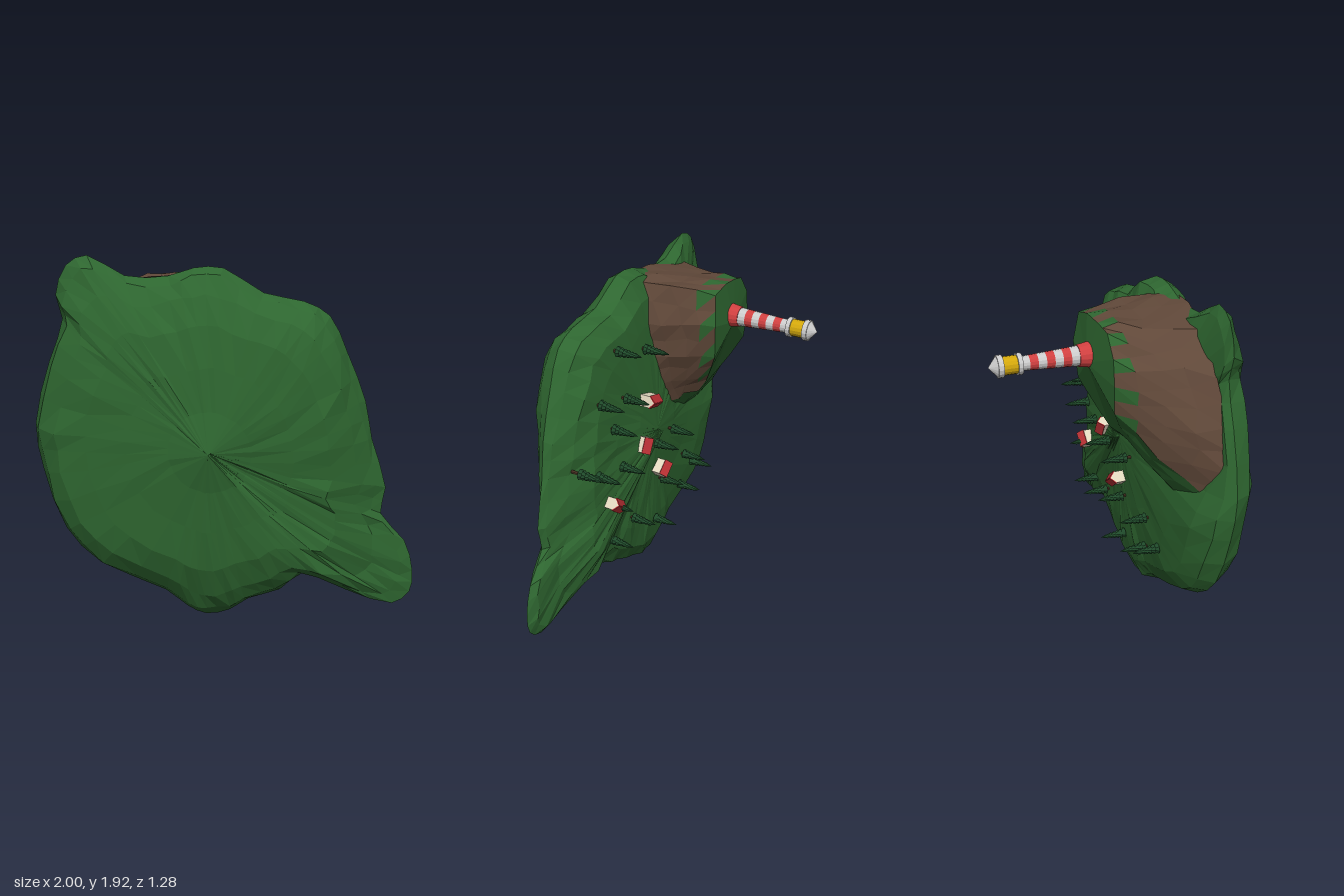
import * as THREE from 'three';

const mat = color => new THREE.MeshStandardMaterial({ color, flatShading: true, side: THREE.DoubleSide });
const GREEN = mat(0x2e6630), BROWN = mat(0x604839), RED = mat(0xd04040), WHITE = mat(0xcccccc),
  YELLOW = mat(0xd4a80c), WALL = mat(0xe2d8be), ROOF = mat(0xb83034), LEAF = mat(0x1f4a2a), TRUNK = mat(0x4c3224);

// Repeatable noise in -1..1
const noise = (a, b) => { const s = Math.sin(a * 127.1 + b * 311.7) * 43758.5453; return 2 * (s - Math.floor(s)) - 1; };
const smooth = (v, a, b) => THREE.MathUtils.smoothstep(v, a, b);
const mix = (p, q, t) => p.map((v, k) => v + (q[k] - v) * t);

function add(parent, name, geometry, material, x = 0, y = 0, z = 0) {
  const m = new THREE.Mesh(geometry, material);
  m.name = name;
  m.position.set(x, y, z);
  parent.add(m);
  return m;
}

// Surface through closed rings of points; keep(j, i, half) selects triangles
function loft(rings, keep = () => true) {
  const pos = [], n = rings[0].length;
  for (let j = 0; j < rings.length - 1; j++) for (let i = 0; i < n; i++) {
    const k = (i + 1) % n, a = rings[j][i], b = rings[j][k], c = rings[j + 1][k], d = rings[j + 1][i];
    if (keep(j, i, 0)) pos.push(...a, ...d, ...c);
    if (keep(j, i, 1)) pos.push(...a, ...c, ...b);
  }
  const g = new THREE.BufferGeometry();
  g.setAttribute('position', new THREE.Float32BufferAttribute(pos, 3));
  g.computeVertexNormals();
  return g;
}

// Island slab: a rounded coast line drawn inwards on both faces, becoming a circle in the middle
function buildIsland(root) {
  const coast = [[1, .28], [.95, .45], [.82, .6], [.84, .74], [.76, 1], [.72, 1.2], [.62, 1.45], [.53, 1.63], [.4, 1.7],
    [.2, 1.74], [0, 1.86], [-.15, 1.86], [-.28, 1.82], [-.5, 1.82], [-.69, 1.92], [-.8, 1.87], [-.86, 1.72], [-.83, 1.6],
    [-.91, 1.38], [-1, 1.05], [-.97, .8], [-.86, .47], [-.68, .28], [-.32, .13], [-.2, .04], [-.1, 0], [.03, .03],
    [.13, .1], [.3, .16], [.42, .26], [.65, .17], [.9, .09], [.99, .16]];
  const curve = new THREE.CatmullRomCurve3(coast.map(([x, y]) => new THREE.Vector3(x, y, 0)), true);
  const line = Array.from({ length: coast.length * 2 }, (_, i) => curve.getPoint(i / coast.length / 2));
  const cx = -.05, cy = .97;
  // [scale, depth] from the middle of the front, over the rim, to the middle of the back
  const steps = [[0, .64], [.25, .595], [.5, .572], [.72, .555], [.87, .525], [.96, .46], [1, .37],
    [.97, .285], [.87, .22], [.72, .2], [.5, .185], [.25, .168], [0, .155]];
  const rings = steps.map(([t, depth], j) => line.map((o, i) => {
    const wob = t < 1 ? t : 0;
    const radius = Math.hypot(o.x - cx, o.y - cy);
    const s = t * THREE.MathUtils.lerp(.82 / radius, 1, t * t);
    const x = cx + (o.x - cx) * s + wob * .012 * noise(i, j);
    const y = cy + (o.y - cy) * s + wob * .012 * noise(i + 40, j);
    const rim = .37 - .04 * smooth(o.x, .5, 1);
    let d = depth - .37;
    d *= 1 - (d > 0 ? .72 : .6) * smooth(x, .5, .8);
    if (d > 0) d *= 1 - .35 * smooth(y, 1.4, 1.9) - .35 * (1 - smooth(y, .05, .4));
    else d *= 1 - .65 * smooth(-x, .3, .75) * smooth(y, .85, 1.15);
    return [x, y, rim + d + wob * .01 * noise(i, j + 70)];
  }));
  add(root, 'island', loft(rings), GREEN);
}

// Headland: steep rock sides, grassy top and a grassy ramp
function buildHeadland(root) {
  const base = [[-.08, 1.82, .4], [-.05, 1.6, .24], [-.07, 1.4, .22], [-.13, 1.2, .21], [-.21, 1.06, .2], [-.42, .93, .22],
    [-.64, .88, .26], [-.86, .95, .33], [-.93, 1.15, .36], [-.88, 1.38, .36], [-.79, 1.6, .33], [-.62, 1.78, .33], [-.35, 1.82, .39]];
  const top = [[-.18, 1.78, -.13], [-.15, 1.62, -.15], [-.18, 1.43, -.135], [-.25, 1.29, -.065], [-.31, 1.18, -.005], [-.42, 1.2, 0],
    [-.54, 1.3, -.05], [-.6, 1.4, -.1], [-.62, 1.55, -.11], [-.6, 1.68, -.11], [-.52, 1.78, -.11], [-.42, 1.8, -.12], [-.3, 1.81, -.13]];
  // Twice as many stations round the hill
  const double = r => r.flatMap((p, i) => [p, mix(p, r[(i + 1) % r.length], .5)]);
  const B = double(base), T = double(top), mid = [-.36, 1.58, -.155];
  const rings = [T.map(() => mid), T.map(p => mix(p, mid, .5)), T];
  for (const t of [.2, .45, .72, 1]) rings.push(T.map((p, i) => {
    const q = mix(p, B[i], t);
    return t === 1 ? q : q.map((v, k) => v + .014 * noise(i + 9 * k, t * 10));
  }));
  const ramp = i => i >= 8 && i < 14;
  const grass = (j, i, h) => j < 2 || ramp(i) || (j === 2 && (i + h) % 2 === 0);
  add(root, 'headlandGrass', loft(rings, grass), GREEN);
  add(root, 'headlandRock', loft(rings, (j, i, h) => !grass(j, i, h)), BROWN);
}

// Striped lighthouse, standing along local y
function buildLighthouse(land) {
  const g = new THREE.Group();
  g.name = 'lighthouse';
  g.position.set(-.355, .14, 1.62);
  land.add(g);
  const cyl = (name, r0, r1, y0, y1, m) =>
    add(g, name, new THREE.CylinderGeometry(r1, r0, y1 - y0, 16), m, 0, (y0 + y1) / 2, 0);
  cyl('towerFoot', .064, .054, 0, .06, RED);
  const r = k => .05 - .0022 * k;
  for (let k = 0; k < 7; k++)
    cyl('towerBand', r(k), r(k + 1), .06 + k * .041, .06 + (k + 1) * .041, k % 2 ? RED : WHITE);
  cyl('gallery', .053, .053, .342, .365, WHITE);
  cyl('lampRoom', .045, .045, .365, .435, YELLOW);
  cyl('roofRim', .055, .055, .435, .462, WHITE);
  cyl('roofCone', .05, .002, .462, .502, WHITE);
}

function buildHouse(land, x, y, yaw) {
  const g = new THREE.Group();
  g.name = 'house';
  g.position.set(x, -.2, y);
  g.rotation.y = yaw;
  land.add(g);
  const w = .032, len = .088;
  const gable = new THREE.Shape([[-w, 0], [w, 0], [w, .085], [0, .115], [-w, .085]].map(p => new THREE.Vector2(...p)));
  const walls = new THREE.ExtrudeGeometry(gable, { depth: len, bevelEnabled: false });
  walls.translate(0, 0, -len / 2).rotateY(Math.PI / 2);
  add(g, 'houseWalls', walls, WALL);
  for (const s of [-1, 1]) {
    const slope = add(g, 'houseRoof', new THREE.BoxGeometry(len + .004, .006, .048), ROOF, 0, .1, s * .018);
    slope.rotation.x = s * Math.atan2(.03, w);
  }
}

function buildTree(land, x, y) {
  const g = new THREE.Group();
  g.name = 'tree';
  g.position.set(x, -(.14 + .12 * Math.hypot(x, y - .97)), y);
  land.add(g);
  add(g, 'treeTrunk', new THREE.CylinderGeometry(.009, .01, .07, 6), TRUNK, 0, .01, 0);
  for (let k = 0; k < 6; k++)
    add(g, 'treeTier', new THREE.ConeGeometry(.031 - .0033 * k, .044, 8), LEAF, 0, .05 + .021 * k, 0).rotation.y = k;
}

export function createModel() {
  const root = new THREE.Group();
  root.name = 'lighthouseIsland';
  buildIsland(root);
  buildHeadland(root);

  // Everything on the land grows towards -z
  const land = new THREE.Group();
  land.name = 'landscape';
  land.rotation.x = -Math.PI / 2;
  root.add(land);
  buildLighthouse(land);
  for (const h of [[.05, 1.2, -.25], [.13, .96, 1.1], [.43, .73, -.7], [-.06, .71, .7]]) buildHouse(land, ...h);
  const trees = [[.27, 1.56], [.45, 1.33], [.645, 1.02], [.03, 1.49], [.37, 1.16], [.25, 1.29], [.515, .94], [.32, .91], [.02, .92],
    [-.19, .91], [-.1, .61], [-.39, .63], [-.52, .51], [-.36, .42], [-.07, .33], [.19, .49], [.4, .46], [.42, .72]];
  for (const t of trees) buildTree(land, ...t);
  return root;
}
